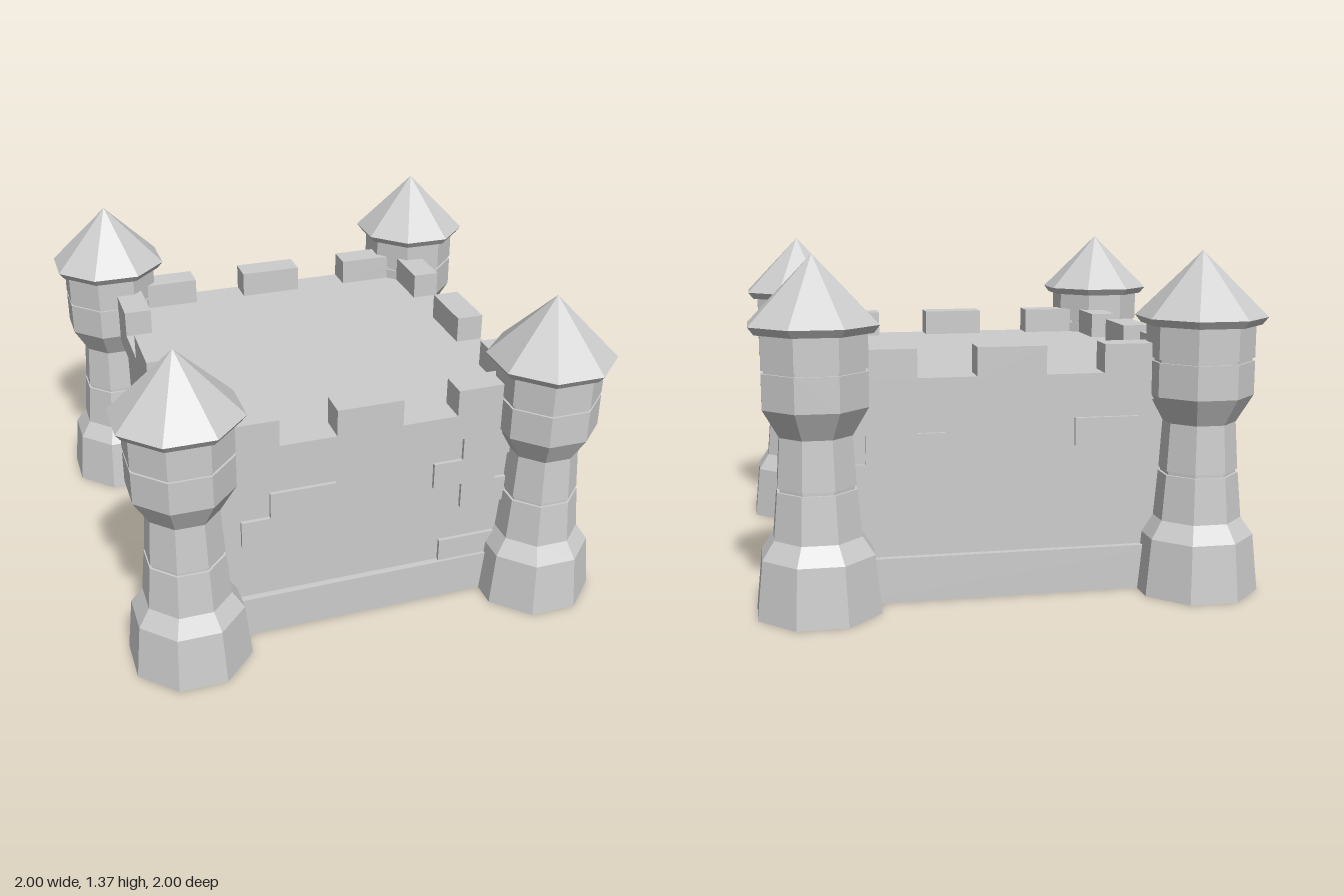
import * as THREE from 'three';

const stone = new THREE.MeshStandardMaterial({ color: 0xcccccc, flatShading: true });
stone.name = 'grey stone';

const WALL = 0.722, EDGE = 0.757, CORNER = 0.76;

function add(parent, name, geometry) {
  const mesh = new THREE.Mesh(geometry, stone);
  mesh.name = name;
  parent.add(mesh);
  return mesh;
}

// Box given by its lower and upper limits on each axis
function block(parent, name, [x0, x1], [y0, y1], [z0, z1]) {
  const mesh = add(parent, name, new THREE.BoxGeometry(x1 - x0, y1 - y0, z1 - z0));
  mesh.position.set((x0 + x1) / 2, (y0 + y1) / 2, (z0 + z1) / 2);
  return mesh;
}

// Eight-sided turned solid; profile holds [flat-to-centre distance, height]
function octagon(profile) {
  const points = profile.map(([r, y]) => new THREE.Vector2(r / Math.cos(Math.PI / 8), y));
  const geometry = new THREE.LatheGeometry(points, 8, Math.PI / 8).toNonIndexed();
  geometry.computeVertexNormals();
  return geometry;
}

const towerGeometry = octagon([
  [0, 0], [0.235, 0], [0.212, 0.23], [0.166, 0.3],
  [0.15, 0.483], [0.14, 0.483], [0.14, 0.498], [0.148, 0.498],
  [0.136, 0.69], [0.197, 0.8], [0.197, 0.935], [0.188, 0.935],
  [0.188, 0.948], [0.197, 0.948], [0.197, 1.085], [0, 1.085],
]);
const roofGeometry = octagon([[0, 1.078], [0.218, 1.078], [0.24, 1.108], [0, 1.365]]);

function createTower(x, z) {
  const tower = new THREE.Group();
  tower.name = 'cornerTower';
  add(tower, 'towerShaft', towerGeometry);
  add(tower, 'towerRoof', roofGeometry);
  tower.position.set(x, 0, z);
  return tower;
}

// One side of the castle, built facing +z and turned into place.
// bricks: [x0, x1, y0, y1] as seen from outside
function createSide(name, angle, bricks, hasGate) {
  const side = new THREE.Group();
  side.name = name;
  const plinths = hasGate ? [[-0.75, -0.3], [0.3, 0.75]] : [[-0.75, 0.75]];
  plinths.forEach((span) => block(side, 'plinth', span, [0, 0.18], [0.68, 0.75]));
  bricks.forEach(([x0, x1, y0, y1]) =>
    block(side, 'raisedBrick', [x0, x1], [y0, y1], [0.7, WALL + 0.016]));
  [[-0.72, -0.37], [-0.137, 0.137], [0.37, 0.72]].forEach((span) =>
    block(side, 'merlon', span, [0.88, 1.003], [0.64, EDGE]));
  if (hasGate) side.add(createGate());
  side.rotation.y = angle;
  return side;
}

function createGate() {
  const gate = new THREE.Group();
  gate.name = 'gate';

  // Faceted stone arch
  const right = [[0.36, 0], [0.36, 0.395], [0.28, 0.575], [0.12, 0.667]];
  const inner = [[0.08, 0.533], [0.175, 0.483], [0.222, 0.385], [0.222, 0]];
  const flip = (points) => points.map(([x, y]) => [-x, y]).reverse();
  const outline = [...right, ...flip(right), ...flip(inner), ...inner];
  // order: outer right to outer left, then back along the opening
  const opening = [...flip(inner), ...inner.slice()];
  const path = [...outline.slice(0, 8), ...opening.slice(0, 4), ...opening.slice(4)];
  const shape = new THREE.Shape(path.map(([x, y]) => new THREE.Vector2(x, y)));
  const arch = add(gate, 'gateArch',
    new THREE.ExtrudeGeometry(shape, { depth: EDGE - 0.7, bevelEnabled: false }));
  arch.position.z = 0.7;

  // Door planks, their tops tucked behind the arch
  for (let i = 0; i < 6; i++) {
    const x = -0.18 + i * 0.06;
    const top = i === 0 || i === 5 ? 0.525 : 0.55;
    block(gate, 'doorPlank', [x + 0.002, x + 0.058], [0, top], [0.7, 0.731]);
  }
  for (const s of [-1, 1]) {
    const span = s > 0 ? [0.182, 0.215] : [-0.215, -0.182];
    block(gate, 'doorEdgePlank', span, [0, 0.48], [0.7, 0.731]);

    // Chamfered foot of the arch
    const foot = new THREE.Shape([
      [0.21, 0], [0.375, 0], [0.375, 0.18], [0.355, 0.2], [0.225, 0.2], [0.21, 0.185],
    ].map(([x, y]) => new THREE.Vector2(x, y)));
    const mesh = add(gate, 'archFoot',
      new THREE.ExtrudeGeometry(foot, { depth: 0.072, bevelEnabled: false }));
    mesh.position.z = 0.7;
    if (s < 0) {
      mesh.rotation.y = Math.PI;
      mesh.position.z = 0.772;
    }
  }
  return gate;
}

export function createModel() {
  const castle = new THREE.Group();
  castle.name = 'castle';

  // Core walls and the overhanging roof slab
  block(castle, 'wallCore', [-WALL, WALL], [0, 0.79], [-WALL, WALL]);
  block(castle, 'roofSlab', [-EDGE, EDGE], [0.78, 0.89], [-EDGE, EDGE]);

  castle.add(createSide('frontSide', 0, [
    [-0.525, -0.25, 0.435, 0.55], [-0.405, -0.13, 0.55, 0.663],
    [0.29, 0.565, 0.55, 0.665], [0.415, 0.7, 0.435, 0.55],
    [0.415, 0.7, 0.665, 0.78], [0.33, 0.7, 0.18, 0.28],
  ], false));
  castle.add(createSide('gateSide', Math.PI / 2, [
    [-0.7, -0.385, 0.685, 0.78], [-0.7, -0.5, 0.57, 0.685],
    [-0.7, -0.34, 0.275, 0.375], [0.38, 0.62, 0.57, 0.68],
    [0.27, 0.53, 0.455, 0.565],
  ], true));
  castle.add(createSide('backSide', Math.PI, [
    [-0.7, -0.37, 0.67, 0.78], [-0.57, -0.26, 0.555, 0.67],
    [-0.7, -0.37, 0.44, 0.555], [0.26, 0.52, 0.6, 0.71],
  ], false));
  castle.add(createSide('leftSide', -Math.PI / 2, [
    [0.07, 0.35, 0.335, 0.45], [-0.5, -0.23, 0.36, 0.475],
    [0.33, 0.6, 0.665, 0.78], [0.42, 0.7, 0.55, 0.665],
  ], false));

  for (const x of [-CORNER, CORNER])
    for (const z of [-CORNER, CORNER]) castle.add(createTower(x, z));

  return castle;
}
